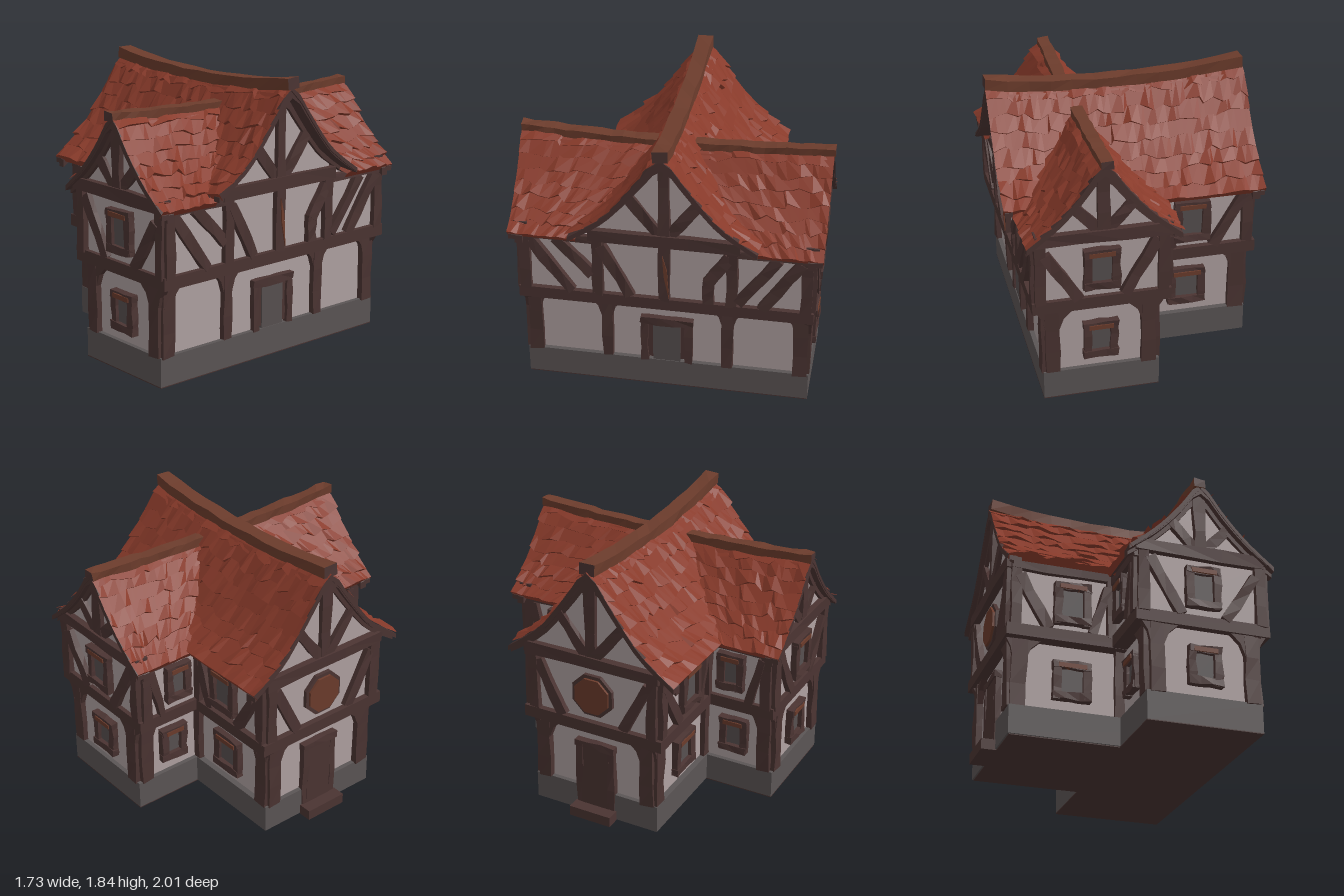
import * as THREE from 'three';

const mat = (name, color) => Object.assign(new THREE.MeshStandardMaterial({ color, flatShading: true }), { name });
const tile = mat('red roof tile', 0x883a2a), plaster = mat('plaster', 0xafa1a1), timber = mat('dark timber', 0x4b3432),
  ridgeWood = mat('ridge wood', 0x6c3c2c), stone = mat('stone', 0x5b5555), glass = mat('window glass', 0x575050);

let seed = 7;
const rnd = () => ((seed = (seed * 16807) % 2147483647) / 2147483647);

// Nudge corners so timbers look hand-hewn; equal positions move together.
function rough(geo, amt) {
  const p = geo.attributes.position, moved = {};
  for (let i = 0; i < p.count; i++) {
    const k = [p.getX(i), p.getY(i), p.getZ(i)].map(v => v.toFixed(3)).join();
    const o = moved[k] ??= [rnd() - 0.5, rnd() - 0.5, rnd() - 0.5];
    p.setXYZ(i, p.getX(i) + o[0] * amt, p.getY(i) + o[1] * amt, p.getZ(i) + o[2] * amt);
  }
  geo.computeVertexNormals();
  return geo;
}
function add(parent, name, geo, material, x = 0, y = 0, z = 0) {
  const m = new THREE.Mesh(geo, material);
  m.name = name;
  m.position.set(x, y, z);
  parent.add(m);
  return m;
}
// Box given by its limits
const block = (parent, name, material, x0, x1, y0, y1, z0, z1) =>
  add(parent, name, new THREE.BoxGeometry(x1 - x0, y1 - y0, z1 - z0), material, (x0 + x1) / 2, (y0 + y1) / 2, (z0 + z1) / 2);
const shapeOf = pts => new THREE.Shape(pts.map(p => new THREE.Vector2(...p)));
const plate = (pts, depth) => new THREE.ExtrudeGeometry(shapeOf(pts), { depth, bevelEnabled: false });

// Roof cross-sections: distance from ridge, height
const curveOf = pts => new THREE.SplineCurve(pts.map(p => new THREE.Vector2(...p)));
const mainCurve = curveOf([[0, 1.75], [0.05, 1.72], [0.12, 1.62], [0.25, 1.445], [0.35, 1.325], [0.46, 1.235], [0.595, 1.14]]);
const wingCurve = curveOf([[0, 1.61], [0.05, 1.575], [0.13, 1.465], [0.22, 1.36], [0.31, 1.27], [0.4, 1.195], [0.485, 1.13]]);
const ROOF_SAG = 0.05, MAIN_SAG = 0.085, WING_SAG = 0.035, WING_X = 0.3;
function valley(y) {
  for (let t = 0; t <= 1; t += 0.01) { const p = mainCurve.getPoint(t); if (p.y <= y) return p.x - 0.04; }
  return 0.56;
}

// One roof slope: overlapping uneven courses of tiles plus a timber lining
function slope(parent, name, curve, sag, start, end, place, flip, rows, cols) {
  const pt = (t, s, h) => {
    s = THREE.MathUtils.clamp(s, 0, 1);
    const p = curve.getPointAt(s), g = curve.getTangentAt(s), a = THREE.MathUtils.lerp(start(p.y), end, t);
    return place(a, p.y + g.x * h + sag * a * a * (1 - s), p.x - g.y * h);
  };
  const make = (label, material, fill) => {
    const pos = [];
    fill((a, b, c, d) => pos.push(...(flip ? [a, c, b, a, d, c] : [a, b, c, a, c, d]).flat()));
    const geo = new THREE.BufferGeometry();
    geo.setAttribute('position', new THREE.Float32BufferAttribute(pos, 3));
    geo.computeVertexNormals();
    add(parent, label, geo, material);
  };
  make(name + 'Tiles', tile, quad => {
    for (let r = 0; r < rows; r++) {
      const last = r === rows - 1;
      const edge = Array.from({ length: cols + 1 }, (_, i) => {
        const t = (i + (i && i < cols ? (rnd() - 0.5) * 0.8 : 0)) / cols;
        const s = (r + 1 + (last ? 0 : (rnd() - 0.4) * 0.5)) / rows, h = rnd() < 0.45 ? 0.006 : 0.012 + rnd() * 0.018;
        return [pt(t, (r - 0.3) / rows, 0), pt(t, s, h), pt(t, s, last ? -0.03 : -0.006)];
      });
      for (let i = 0; i < cols; i++) {
        const [a, b] = [edge[i], edge[i + 1]];
        quad(a[0], a[1], b[1], b[0]);
        quad(a[1], a[2], b[2], b[1]);
      }
    }
  });
  make(name + 'Lining', timber, quad => {
    for (let r = 0; r < 6; r++) for (let i = 0; i < 6; i++) {
      const [s0, s1, t0, t1] = [r / 6, (r + 1) / 6, i / 6, (i + 1) / 6];
      quad(pt(t0, s0, -0.03), pt(t1, s0, -0.03), pt(t1, s1, -0.03), pt(t0, s1, -0.03));
    }
  });
}

// A wall plane: local x runs along it, z points outward; m turns the input coordinate into local x
function facade(parent, name, x, z, rot, m) {
  const g = new THREE.Group();
  g.name = name;
  g.position.set(x, 0, z);
  g.rotation.y = rot;
  parent.add(g);
  const f = { g };
  f.beam = (u0, y0, u1, y1, w = 0.07, d = 0.07, label = 'beam') => {
    const L = Math.hypot(u1 - u0, y1 - y0);
    const b = add(g, label, rough(new THREE.BoxGeometry(w, L, d, 1, 3, 1), 0.012), timber, m * (u0 + u1) / 2, (y0 + y1) / 2, 0.003);
    b.rotation.z = Math.atan2(-m * (u1 - u0), y1 - y0);
  };
  f.panel = (label, material, u, y, w, h, d) => add(g, label, new THREE.BoxGeometry(w, h, d), material, m * u, y, 0.003);
  f.knee = (u, y, dir, w = 0.1) =>
    add(g, 'bracket', plate([[0, 0], [dir * m * w, 0], [dir * m * w * 0.35, -0.06], [0, -0.15]], 0.045), timber, m * u, y, -0.01);
  // Framed opening; doors have no bottom rail and no lighter lintel
  f.opening = (label, u, y, w, h, door = false) => {
    const a = w / 2 - 0.025, b = h / 2 - 0.025, d = door ? 0.065 : 0.08;
    f.panel(label + 'Pane', door ? timber : glass, u, y, w - 0.04, h - 0.04, 0.03);
    for (const s of [-1, 1]) {
      f.beam(u + s * a, y - h / 2, u + s * a, y + b, 0.05, d, label + 'Jamb');
      if (s > 0 || !door) f.beam(u - a - 0.025, y + s * b, u + a + 0.025, y + s * b, 0.05, d + 0.01, label + 'Rail');
    }
    if (!door) f.panel(label + 'Lintel', ridgeWood, u, y + b - 0.008, w - 0.065, 0.03, 0.104);
  };
  // Roof profile from ridge to eave; lift raises the ridge, tail raises the eave
  const profile = (curve, lift, tail) => Array.from({ length: 11 }, (_, i) => {
    const t = i / 10, p = curve.getPointAt(t);
    return [p.x, p.y + lift * (1 - t) + tail * t, 1 - t * 0.5];
  });
  // Band of timber that follows the roof profile, thinner at the eaves
  const band = (label, q, y0, y1, z, depth) => {
    const line = o => [...q.slice(1).reverse().map(p => [-p[0], p[1] + o * p[2]]), ...q.map(p => [p[0], p[1] + o * p[2]])];
    add(g, label, plate([...line(y1), ...line(y0).reverse()], depth), timber, 0, 0, z);
  };
  // Gable infill with king post and fanned struts, centred on local x = 0
  f.gable = (curve, lift, tail, hw, overhang, top) => {
    const q = profile(curve, lift, tail);
    const side = q.filter(p => p[0] < hw).map(p => [p[0], p[1] - 0.03]);
    const pts = [[-hw, 1.13], ...side.slice(1).reverse().map(p => [-p[0], p[1]]), ...side, [hw, 1.13]];
    add(g, 'gablePlaster', plate(pts, 0.02), plaster, 0, 0, -0.015);
    band('gableRafters', q, -0.125, -0.02, -0.02, 0.05);
    band('bargeboard', q, -0.075, -0.01, overhang - 0.05, 0.05);
    f.beam(-hw - 0.02, 1.155, hw + 0.02, 1.155, 0.08, 0.09, 'tieBeam');
    f.beam(0, 1.18, 0, top, 0.075, 0.07, 'kingPost');
    for (const s of [-1, 1]) f.beam(s * 0.03, 1.19, s * hw * 0.5, 1.19 + (top - 1.19) * 0.48, 0.068, 0.06, 'strut');
  };
  return f;
}

export function createModel() {
  const house = new THREE.Group();
  house.name = 'timberHouse';

  // Base, wall cores and jetty floors
  block(house, 'mainFloor', timber, -0.77, 0.68, 0, 0.006, -0.44, 0.44);
  block(house, 'wingFloor', timber, -0.06, 0.69, 0, 0.006, -0.93, 0.93);
  block(house, 'mainPlinth', stone, -0.78, 0.68, 0.006, 0.195, -0.45, 0.45);
  block(house, 'wingPlinth', stone, -0.06, 0.69, 0.006, 0.195, -0.93, 0.93);
  block(house, 'mainLowerWall', plaster, -0.75, 0.65, 0.19, 0.66, -0.41, 0.41);
  block(house, 'wingLowerWall', plaster, -0.03, 0.66, 0.19, 0.66, -0.9, 0.9);
  block(house, 'mainJetty', timber, -0.82, 0.74, 0.64, 0.72, -0.5, 0.5);
  block(house, 'wingJetty', timber, -0.13, 0.755, 0.642, 0.722, -0.95, 0.95);
  block(house, 'mainUpperWall', plaster, -0.78, 0.715, 0.7, 1.18, -0.46, 0.46);
  block(house, 'wingUpperWall', plaster, -0.1, 0.72, 0.7, 1.14, -0.92, 0.92);

  // Front and back walls
  for (const s of [1, -1]) {
    const rot = s > 0 ? 0 : Math.PI;
    let f = facade(house, 'wingLowerFace', 0, s * 0.9, rot, s);
    for (const [u, d] of [[0.01, 1], [0.63, -1]]) {
      f.beam(u, 0.19, u, 0.65, 0.09);
      f.knee(u + d * 0.04, 0.645, d);
      f.knee(u - d * 0.04, 0.645, -d, 0.06);
    }
    f.opening('lowerWindow', 0.32, 0.4, 0.22, 0.26);
    f = facade(house, 'wingUpperFace', 0, s * 0.92, rot, s);
    f.beam(-0.08, 0.71, -0.08, 1.13);
    f.beam(0.7, 0.71, 0.7, 1.13);
    f.beam(-0.04, 1.09, 0.17, 0.72);
    f.beam(0.67, 1.05, 0.46, 0.72);
    f.opening('upperWindow', 0.315, 0.92, 0.23, 0.28);
    facade(house, 'wingGable', WING_X, s * 0.92, rot, s).gable(wingCurve, WING_SAG, 0, 0.41, 0.07, 1.58);

    f = facade(house, 'mainLowerFace', 0, s * 0.41, rot, s);
    f.beam(-0.72, 0.19, -0.72, 0.65, 0.1);
    f.knee(-0.68, 0.645, 1);
    f.knee(-0.76, 0.645, -1, 0.05);
    f.beam(-0.06, 0.19, -0.06, 0.65, 0.06);
    f.opening('lowerWindow', -0.375, 0.4, 0.25, 0.26);
    f = facade(house, 'mainUpperFace', 0, s * 0.46, rot, s);
    f.beam(-0.76, 0.71, -0.76, 1.16);
    f.beam(-0.13, 0.71, -0.13, 1.16, 0.06);
    f.beam(-0.74, 1.07, -0.54, 0.72);
    f.beam(-0.15, 1.06, -0.26, 0.72, 0.06);
    f.beam(-0.8, 1.14, -0.1, 1.14, 0.07);
    f.opening('upperWindow', -0.39, 0.91, 0.24, 0.29);

    // Inner sides of the cross wing
    f = facade(house, 'wingInnerLower', -0.03, 0, -Math.PI / 2, 1);
    f.beam(s * 0.86, 0.19, s * 0.86, 0.65, 0.09);
    f.knee(s * 0.82, 0.645, -s);
    f.opening('sideWindow', s * 0.64, 0.41, 0.2, 0.25);
    f = facade(house, 'wingInnerUpper', -0.1, 0, -Math.PI / 2, 1);
    f.beam(s * 0.89, 0.71, s * 0.89, 1.13);
    f.beam(s * 0.86, 1.07, s * 0.77, 0.72, 0.05);
    f.beam(s * 0.46, 1.11, s * 0.94, 1.11, 0.06);
    f.opening('sideWindow', s * 0.64, 0.92, 0.19, 0.26);
  }

  // Right wall
  let f = facade(house, 'rightLowerFace', 0.66, 0, Math.PI / 2, -1);
  for (const z of [-0.87, -0.4, 0.39, 0.87]) {
    f.beam(z, 0.19, z, 0.65, Math.abs(z) > 0.5 ? 0.09 : 0.07);
    for (const d of [-1, 1]) f.knee(z + d * 0.03, 0.645, d, Math.abs(z + d * 0.1) > 0.9 ? 0.04 : 0.08);
  }
  f.opening('rightDoor', 0, 0.36, 0.34, 0.34, true);
  f.panel('doorLeaf', glass, 0, 0.34, 0.18, 0.29, 0.045);
  f = facade(house, 'rightUpperFace', 0.72, 0, Math.PI / 2, -1);
  for (const z of [-0.9, -0.43, 0, 0.43, 0.9]) f.beam(z, 0.71, z, 1.14);
  add(f.g, 'postWedge', plate([[-0.01, 1.06], [0, 0.9], [0.032, 0.74], [0.02, 0.95]], 0.008), ridgeWood, 0, 0, 0.04);
  for (const [a, b, c, d] of [[0.87, 1.09, 0.6, 0.72], [0.7, 1.1, 0.46, 0.86], [0.41, 1.08, 0.22, 0.72],
    [-0.41, 1.08, -0.28, 0.88], [-0.28, 0.9, -0.28, 0.72], [-0.72, 1.09, -0.47, 0.74], [-0.87, 1.08, -0.62, 0.72]]) f.beam(a, b, c, d);
  for (const s of [-1, 1]) f.beam(s * 0.44, 1.115, s * 0.93, 1.115, 0.05);
  facade(house, 'rightGable', 0.72, 0, Math.PI / 2, -1).gable(mainCurve, 0.036, 0.045, 0.46, 0.125, 1.73);

  // Left wall with door, step and rounded shutter
  f = facade(house, 'leftLowerFace', -0.755, 0, -Math.PI / 2, 1);
  for (const s of [-1, 1]) {
    f.beam(s * 0.38, 0.19, s * 0.38, 0.65, 0.09);
    f.knee(s * 0.34, 0.645, -s);
  }
  f.opening('frontDoor', 0, 0.31, 0.28, 0.48, true);
  f.panel('doorLeaf', timber, 0, 0.3, 0.2, 0.46, 0.06);
  block(house, 'doorStep', timber, -0.87, -0.77, 0, 0.07, -0.15, 0.15);
  f = facade(house, 'leftUpperFace', -0.78, 0, -Math.PI / 2, 1);
  for (const s of [-1, 1]) {
    f.beam(s * 0.43, 0.71, s * 0.43, 1.16);
    f.beam(s * 0.4, 1.08, s * 0.22, 0.72);
  }
  for (const [name, r, d, m] of [['shutterFrame', 0.155, 0.05, timber], ['roundShutter', 0.13, 0.08, ridgeWood]])
    add(f.g, name, new THREE.CylinderGeometry(r, r, d, 8), m, 0, 0.91, 0).rotation.set(Math.PI / 2, Math.PI / 8, 0);
  facade(house, 'leftGable', -0.78, 0, -Math.PI / 2, 1).gable(mainCurve, 0.036, 0, 0.46, 0.06, 1.73);

  // Roofs: long main slopes with eaves rising to the right, then four wing slopes cut at the valleys
  for (const s of [1, -1]) {
    slope(house, 'mainRoof', mainCurve, ROOF_SAG, () => -0.845, 0.855,
      (a, y, d) => [a, y + 0.12 * Math.max(0, a - 0.2) * d, s * d], s < 0, 8, 30);
    for (const e of [1, -1])
      slope(house, 'wingRoof', wingCurve, WING_SAG, valley, 0.995, (a, y, d) => [WING_X + s * d, y, e * a], s * e > 0, 8, 12);
  }

  // Sagging ridge beams with dark ends
  const ridge = (name, len, w, h, sag, cx, cy, cz, alongZ) => {
    const geo = new THREE.BoxGeometry(len, h, w, 12, 1, 1), p = geo.attributes.position;
    for (let i = 0; i < p.count; i++) {
      const a = p.getX(i) + (alongZ ? cz : cx);
      p.setY(i, p.getY(i) + sag * a * a);
    }
    const faces = [timber, timber, ridgeWood, ridgeWood, ridgeWood, ridgeWood];
    add(house, name, rough(geo, 0.01), faces, cx, cy, cz).rotation.y = alongZ ? -Math.PI / 2 : 0;
  };
  ridge('mainRidge', 1.69, 0.1, 0.07, MAIN_SAG, 0.01, 1.743, 0, false);
  ridge('wingRidgeFront', 0.88, 0.08, 0.055, WING_SAG, 0.29, 1.608, 0.56, true);
  ridge('wingRidgeBack', 0.88, 0.08, 0.055, WING_SAG, 0.29, 1.608, -0.56, true);
  return house;
}
